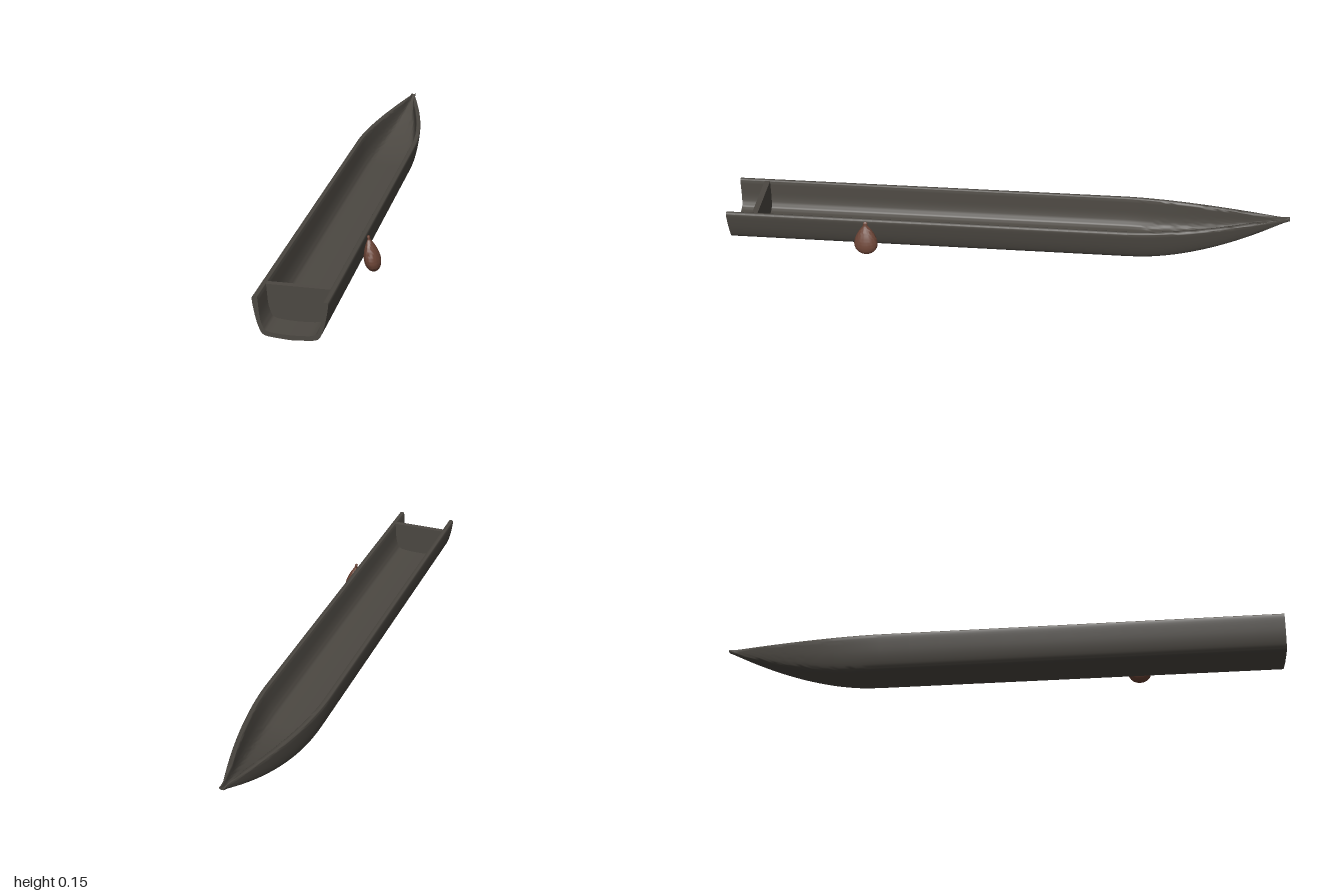
import * as THREE from 'three';
import { toCreasedNormals } from 'three/addons/utils/BufferGeometryUtils.js';

const CENTER = -0.025; // hull centre line

const hullMat = new THREE.MeshStandardMaterial({ name: 'weathered wood', color: 0x4c4842 });
const gourdMat = new THREE.MeshStandardMaterial({ name: 'brown gourd', color: 0x6b4436 });

// half section from rim to keel, as fractions of half width and depth
const smooth = (pts, n) => new THREE.SplineCurve(pts.map((p) => new THREE.Vector2(...p))).getPoints(n);
const outerHalf = smooth([[0.96, 1], [1, 0.95], [0.975, 0.75], [0.9, 0.42], [0.79, 0.15], [0.66, 0.055], [0.35, 0.02], [0, 0]], 24);
const innerHalf = smooth([[1.03, 1], [0.99, 0.95], [0.965, 0.7], [0.93, 0.4], [0.83, 0.14], [0.68, 0.045], [0.35, 0.01], [0, 0]], 24);
const mirrorHalf = (h) => [...h, ...h.slice(0, -1).reverse().map((p) => new THREE.Vector2(-p.x, p.y))];
const outer = mirrorHalf(outerHalf), inner = mirrorHalf(innerHalf);

// hull measurements at a given z
function station(z) {
  const s = Math.max(0, (-z - 0.42) / 0.58), k = Math.max(0, (-z - 0.48) / 0.52);
  const half = Math.max(0.009, 0.115 * (1 - s ** 1.7));
  const top = 0.133 + 0.018 * s * s;
  const bottom = 0.144 * k ** 1.8;
  const wall = Math.min(0.016, half * 0.4);
  return { half, top, bottom, wall, floor: Math.min(bottom + wall, top - 0.002) };
}
function innerSection(z) {
  const { half, top, floor, wall } = station(z);
  return inner.map((p) => [p.x * (half - wall), floor + p.y * (top - floor)]);
}
function outerSection(z) {
  const { half, top, bottom } = station(z);
  return outer.map((p) => [p.x * half, bottom + p.y * (top - bottom)]);
}

// loft of closed rings: outside, rim and inside in one skin
function hullGeometry() {
  const zs = [1, 0.985];
  for (let i = 0; i <= 12; i++) zs.push(0.9 - i * 0.11);
  for (let i = 1; i <= 28; i++) zs.push(-0.42 - 0.58 * i / 28);
  const pos = [], idx = [], n = outer.length, m = 2 * n;
  zs.forEach((z) => {
    [...outerSection(z), ...innerSection(z).reverse()].forEach(([x, y]) => pos.push(x + CENTER, y, z));
  });
  for (let i = 0; i < zs.length - 1; i++) {
    for (let j = 0; j < m; j++) {
      const a = i * m + j, b = i * m + (j + 1) % m;
      idx.push(a, b, b + m, a, b + m, a + m);
    }
  }
  // end faces of the wall at stern and bow
  const last = (zs.length - 1) * m;
  for (let j = 0; j < n - 1; j++) {
    const a = j, b = j + 1, c = m - 1 - j, d = m - 2 - j;
    idx.push(b, a, c, b, c, d);
    idx.push(last + a, last + b, last + c, last + b, last + d, last + c);
  }
  const g = new THREE.BufferGeometry();
  g.setAttribute('position', new THREE.Float32BufferAttribute(pos, 3));
  g.setIndex(idx);
  return toCreasedNormals(g, 0.9);
}

// board closing the stern, set in from the end
function transomGeometry() {
  const pts = innerSection(0.9).map(([x, y]) => new THREE.Vector2(x * 1.02, Math.min(y, 0.132) - 0.001));
  const g = new THREE.ExtrudeGeometry(new THREE.Shape(pts), { depth: 0.02, bevelEnabled: false });
  g.translate(CENTER, 0, 0.888);
  return toCreasedNormals(g, 0.6);
}

// pear-shaped gourd, flattened and leaning against the side
function gourdGeometry() {
  const pts = smooth([[0, 0.013], [0.02, 0.0165], [0.036, 0.03], [0.042, 0.05], [0.038, 0.072], [0.026, 0.096],
    [0.011, 0.116], [0.007, 0.124], [0.008, 0.13], [0, 0.136]], 36);
  pts.forEach((p) => { p.x = Math.max(0, p.x); });
  const g = new THREE.LatheGeometry(pts, 32);
  const p = g.attributes.position;
  for (let i = 0; i < p.count; i++) p.setX(i, p.getX(i) * 0.64 + 0.114 - 0.17 * (p.getY(i) - 0.05));
  g.translate(0, 0, 0.495);
  g.computeVertexNormals();
  return toCreasedNormals(g, 1);
}

export function createModel() {
  const group = new THREE.Group();
  group.name = 'dugoutCanoe';
  const add = (name, geometry, material) => {
    const mesh = new THREE.Mesh(geometry, material);
    mesh.name = name;
    group.add(mesh);
  };
  add('hull', hullGeometry(), hullMat);
  add('transom', transomGeometry(), hullMat);
  add('hangingGourd', gourdGeometry(), gourdMat);
  return group;
}
